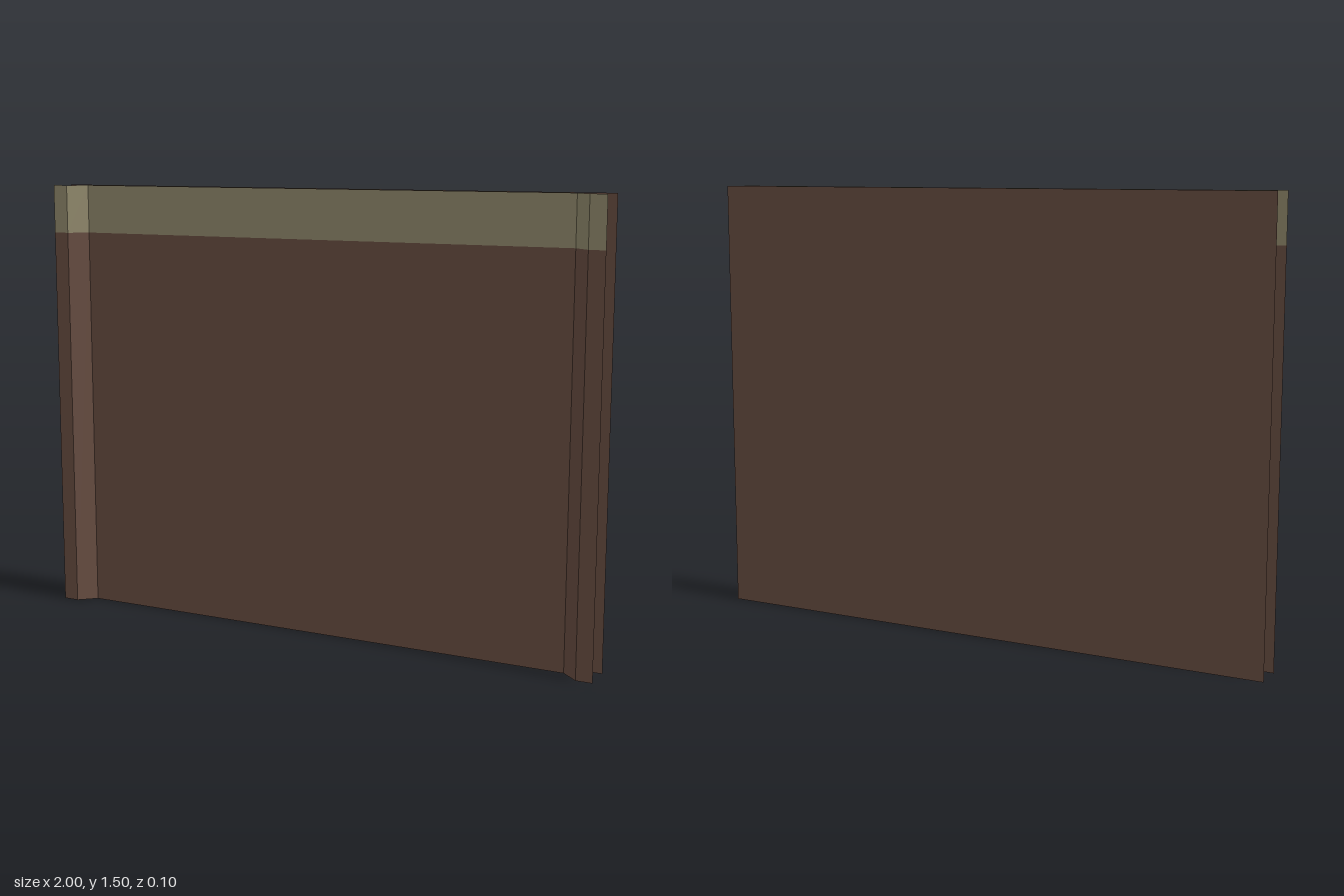
import * as THREE from 'three';

const HEIGHT = 1.5;
const BAND_Y = 1.335; // where the painted top band starts

export function createModel() {
  const group = new THREE.Group();
  group.name = 'wallPanel';

  const brown = new THREE.MeshStandardMaterial({ color: 0x6a4f43, side: THREE.DoubleSide });
  brown.name = 'brown';
  const olive = new THREE.MeshStandardMaterial({ color: 0x958d6f, side: THREE.DoubleSide });
  olive.name = 'olive';

  // Upright flat sheet running from plan point a to b ([x, z]), facing front
  function sheet(name, a, b, y0, y1, material) {
    const dx = b[0] - a[0], dz = b[1] - a[1];
    const mesh = new THREE.Mesh(new THREE.PlaneGeometry(Math.hypot(dx, dz), y1 - y0), material);
    mesh.position.set((a[0] + b[0]) / 2, (y0 + y1) / 2, (a[1] + b[1]) / 2);
    mesh.rotation.y = -Math.atan2(dz, dx);
    mesh.name = name;
    group.add(mesh);
  }

  // Front skin: raised edge strips, sloped returns and a recessed centre
  const plan = [[-1, 0.05], [-0.945, 0.05], [-0.89, 0], [0.89, 0], [0.945, 0.05], [1, 0.05]];
  const names = ['rightEdge', 'rightSlope', 'centre', 'leftSlope', 'leftEdge'];
  names.forEach((name, i) => {
    sheet(name + 'Lower', plan[i], plan[i + 1], 0, BAND_Y, brown);
    sheet(name + 'Band', plan[i], plan[i + 1], BAND_Y, HEIGHT, olive);
  });

  // Plain flat back skin
  sheet('backSkin', [-1, -0.05], [1, -0.05], 0, HEIGHT, brown);

  return group;
}
